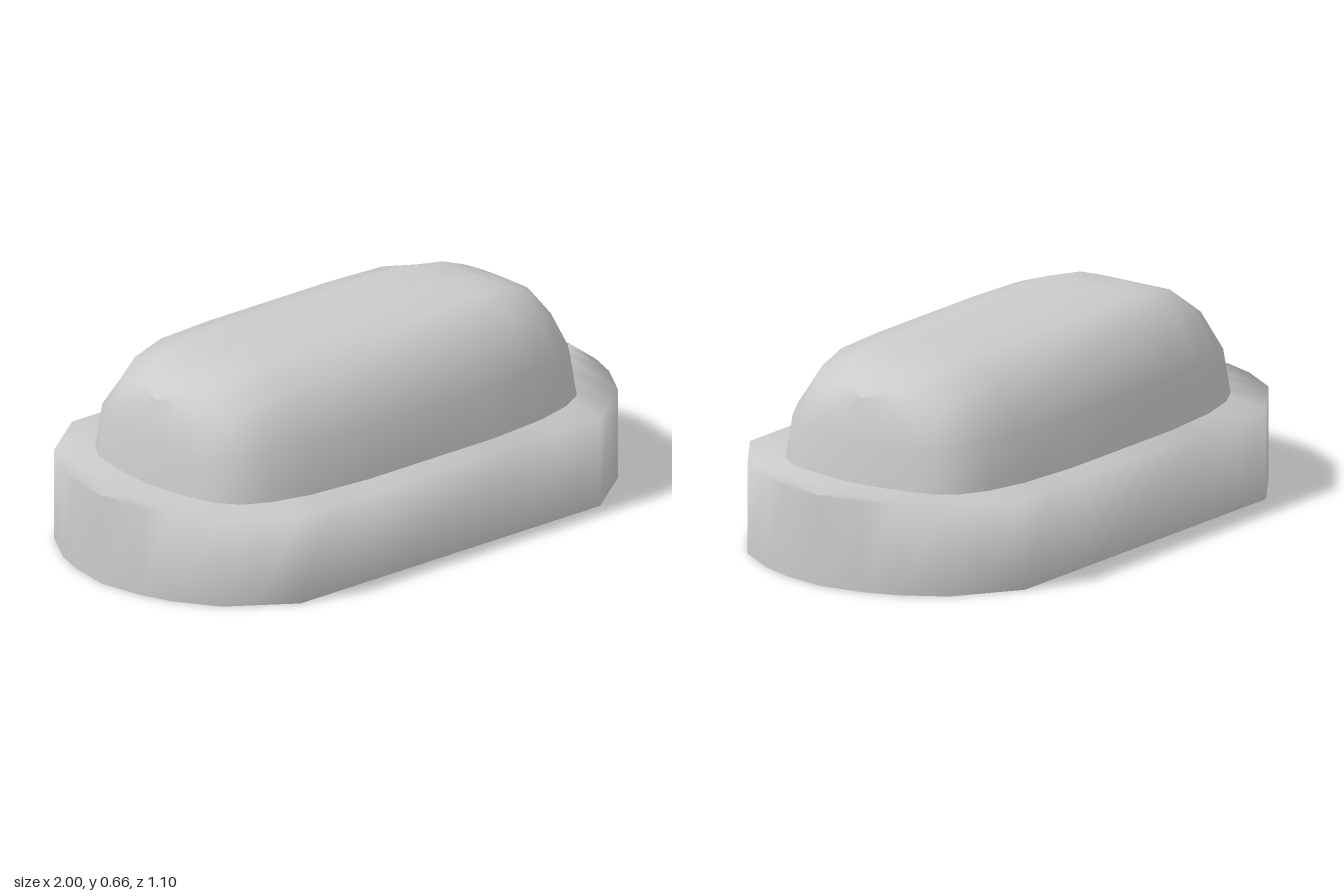
import * as THREE from 'three';

const material = new THREE.MeshStandardMaterial({ color: 0xcccccc, side: THREE.DoubleSide });

// One quadrant of each plan, from the long side round to the end, as [x, z]
const basePlan = [[0.3, 0.55], [0.5, 0.55], [0.64, 0.55], [0.76, 0.465], [0.848, 0.403], [0.936, 0.26], [0.975, 0.15], [1, 0]];
const domePlan = [[0.32, 1], [0.6, 0.955], [0.77, 0.875], [0.878, 0.77], [0.942, 0.61], [0.97, 0.43], [0.99, 0.23], [1, 0]];

// Mirror a quadrant into a closed loop, scaled and lifted to height y;
// the loop sags smoothly towards its ends by the given drop
function ring(plan, y, sx = 1, sz = 1, drop = 0) {
  const back = plan.slice(0, -1).reverse();
  const sag = (x) => drop * Math.max(0, (x - 0.6) / 0.4) ** 2;
  const place = (list, mx, mz) => list.map(([x, z]) => new THREE.Vector3(mx * x * sx, y - sag(x), mz * z * sz));
  return [...place(plan, 1, 1), ...place(back, 1, -1), ...place(plan, -1, -1), ...place(back, -1, 1)];
}

// Smooth skin through a stack of loops
function loft(name, rings) {
  const n = rings[0].length;
  const index = [];
  for (let r = 0; r < rings.length - 1; r++) {
    for (let j = 0; j < n; j++) {
      const a = r * n + j, b = r * n + (j + 1) % n;
      index.push(a, b, b + n, a, b + n, a + n);
    }
  }
  const geometry = new THREE.BufferGeometry().setFromPoints(rings.flat());
  geometry.setIndex(index);
  geometry.computeVertexNormals();
  const mesh = new THREE.Mesh(geometry, material);
  mesh.name = name;
  return mesh;
}

export function createModel() {
  const group = new THREE.Group();
  group.name = 'coveredDish';

  // Upright wall with a flat top running right across under the dome
  group.add(loft('base', [
    ring(basePlan, 0),
    ring(basePlan, 0.3),
    ring(basePlan, 0.3, 1, 0),
  ]));

  // Sloping inner skirt from the bottom rim in to the foot of the dome
  group.add(loft('innerSkirt', [
    ring(basePlan, 0),
    ring(domePlan, 0.262, 0.822, 0.461),
  ]));

  // Rounded lid: height, half length, half width, drop at the ends;
  // the last loop closes the top along its centre line
  const profile = [
    [0.262, 0.822, 0.461, 0], [0.46, 0.805, 0.426, 0.03], [0.612, 0.787, 0.325, 0.11],
    [0.66, 0.77, 0.178, 0.09], [0.66, 0.77, 0, 0.09],
  ];
  group.add(loft('dome', profile.map(([y, sx, sz, drop]) => ring(domePlan, y, sx, sz, drop))));

  return group;
}
